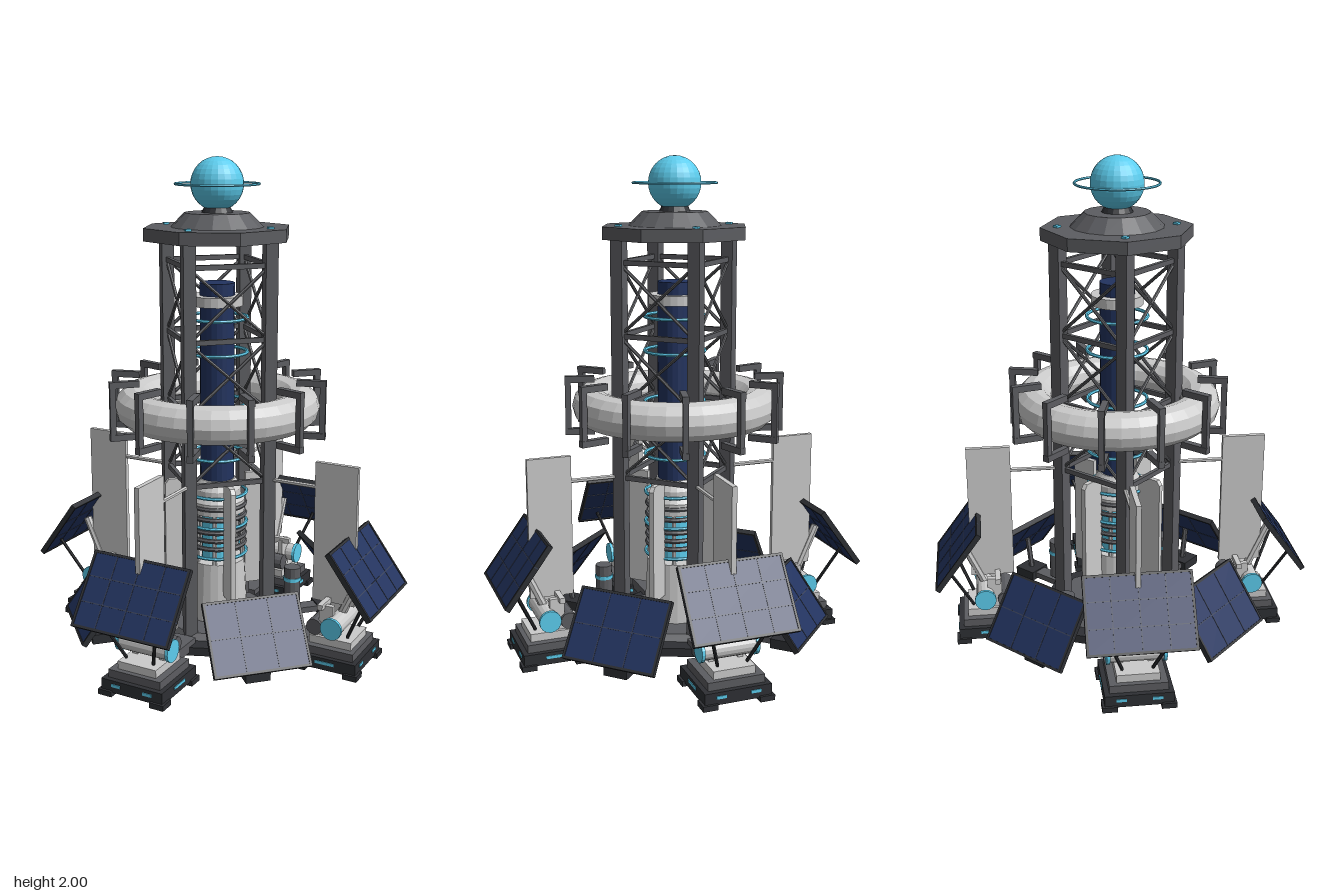
import * as THREE from 'three';

const mat = (color) => new THREE.MeshStandardMaterial({ color, flatShading: true });
const light = mat(0xcccccc), steel = mat(0x5c5d61), dark = mat(0x2e3034);
const navy = mat(0x22335f), cyan = mat(0x5ccdee), line = mat(0x3a4258);

function add(parent, name, geometry, material, x = 0, y = 0, z = 0) {
  const mesh = new THREE.Mesh(geometry, material);
  mesh.name = name;
  mesh.position.set(x, y, z);
  parent.add(mesh);
  return mesh;
}
const box = (p, name, m, w, h, d, x, y, z) => add(p, name, new THREE.BoxGeometry(w, h, d), m, x, y, z);

// Upright cylinder or cone frustum from y0 to y1
const drum = (p, name, m, r0, r1, y0, y1, sides = 24, x = 0, z = 0) =>
  add(p, name, new THREE.CylinderGeometry(r1, r0, y1 - y0, sides), m, x, (y0 + y1) / 2, z);

// Horizontal ring
function ring(p, name, m, R, r, y, radial = 6, around = 36) {
  const mesh = add(p, name, new THREE.TorusGeometry(R, r, radial, around), m, 0, y, 0);
  mesh.rotation.x = Math.PI / 2;
  return mesh;
}

// Round bar between two points
function bar(p, name, m, a, b, r, sides = 6) {
  const A = new THREE.Vector3(...a), B = new THREE.Vector3(...b), dir = B.clone().sub(A);
  const mesh = add(p, name, new THREE.CylinderGeometry(r, r, dir.length(), sides), m);
  mesh.position.copy(A).add(B).multiplyScalar(0.5);
  mesh.quaternion.setFromUnitVectors(new THREE.Vector3(0, 1, 0), dir.normalize());
  return mesh;
}

// Repeats a part around the axis; local +z points outward
function around(root, name, count, start, build) {
  for (let i = 0; i < count; i++) {
    const g = new THREE.Group();
    g.name = name;
    g.rotation.y = start + (i * Math.PI * 2) / count;
    build(g);
    root.add(g);
  }
}

// Framed solar panel, sloping down and outward
function solarPanel(p, w, len, y, z, columns, rows) {
  const g = new THREE.Group();
  g.name = 'solarPanel';
  g.position.set(0, y, z);
  g.rotation.x = 0.94;
  box(g, 'cells', navy, w - 0.012, 0.016, len - 0.012, 0, 0, 0);
  for (const s of [-1, 1]) {
    box(g, 'frameSide', dark, 0.01, 0.022, len, s * (w / 2 - 0.005), 0, 0);
    box(g, 'frameEnd', dark, w, 0.022, 0.01, 0, 0, s * (len / 2 - 0.005));
  }
  for (let i = 1; i < columns; i++) box(g, 'cellLine', line, 0.004, 0.019, len, (i / columns - 0.5) * w, 0, 0);
  for (let i = 1; i < rows; i++) box(g, 'cellLine', line, w, 0.019, 0.004, 0, 0, (i / rows - 0.5) * len);
  p.add(g);
}

// Glowing sphere, its halo and the octagonal roof
function roof(root) {
  add(root, 'beacon', new THREE.SphereGeometry(0.105, 24, 16), cyan, 0, 1.895, 0);
  ring(root, 'beaconHalo', cyan, 0.165, 0.005, 1.895, 6, 48);
  drum(root, 'beaconSocket', dark, 0.07, 0.05, 1.77, 1.81, 16);
  drum(root, 'roofCone', steel, 0.185, 0.13, 1.73, 1.785, 16);
  drum(root, 'roofPlate', steel, 0.3, 0.3, 1.68, 1.73, 8);
  for (const x of [-0.165, 0.165])
    for (const z of [-0.165, 0.165]) box(root, 'roofLamp', cyan, 0.022, 0.01, 0.022, x, 1.733, z);
}

// Square lattice frame: one column and one braced side per quarter
function frame(root) {
  around(root, 'frameSide', 4, 0, (g) => {
    const c = 0.165;
    box(g, 'column', steel, 0.05, 1.63, 0.05, c, 0.875, c);
    const levels = [0.72, 1.01, 1.3, 1.59];
    levels.forEach((y, i) => {
      box(g, 'crossBeam', steel, 0.3, 0.02, 0.016, 0, y, c);
      if (i === 3) return;
      for (const s of [-1, 1]) bar(g, 'brace', steel, [-s * c, y, c], [s * c, levels[i + 1], c], 0.007);
    });
  });
}

// Central energy column and the reactor under it
function core(root) {
  drum(root, 'coreTube', navy, 0.07, 0.07, 0.66, 1.51, 20);
  drum(root, 'coreCollar', light, 0.105, 0.105, 1.42, 1.46);
  const profile = [[0, 0.56], [0.115, 0.56], [0.115, 0.61], [0.1, 0.63], [0.1, 0.66], [0.075, 0.7], [0, 0.7]];
  add(root, 'reactorCap', new THREE.LatheGeometry(profile.map(([x, y]) => new THREE.Vector2(x, y)), 24), light);
  drum(root, 'reactorCore', cyan, 0.065, 0.065, 0.3, 0.57, 16);
  drum(root, 'reactorBase', light, 0.13, 0.115, 0.09, 0.35);
  for (const y of [0.38, 0.51, 0.64, 0.8, 1.02, 1.23, 1.37]) ring(root, 'energyRing', cyan, 0.122, 0.007, y);
  for (const y of [0.42, 0.455, 0.49, 0.545, 0.59]) ring(root, 'coilRing', steel, 0.115, 0.01, y);
  for (let i = 0; i < 8; i++) {
    const a = ((i + 0.5) * Math.PI) / 4;
    drum(root, 'coilRod', light, 0.009, 0.009, 0.34, 0.57, 6, 0.105 * Math.sin(a), 0.105 * Math.cos(a));
  }
}

// Large ring held by twelve clamps
function habitatRing(root) {
  ring(root, 'largeRing', light, 0.34, 0.078, 1.01, 12, 36);
  around(root, 'ringClamp', 12, 0, (g) => {
    for (const s of [-1, 1]) box(g, 'clampArm', steel, 0.026, 0.026, 0.12, 0, 1.01 + s * 0.108, 0.387);
    box(g, 'clampPost', steel, 0.022, 0.22, 0.024, 0, 1.01, 0.434);
  });
  around(root, 'ringSpoke', 4, Math.PI / 4, (g) => bar(g, 'spoke', steel, [0, 1.01, 0.22], [0, 1.01, 0.29], 0.014));
}

// Low panels, canisters, pads and chamfered fins on the four sides
function sideUnits(root) {
  const s = new THREE.Shape();
  [[0.12, 0.22], [0.225, 0.22], [0.225, 0.69], [0.21, 0.71], [0.12, 0.71]].forEach(([x, y], i) =>
    i ? s.lineTo(x, y) : s.moveTo(x, y));
  const fin = new THREE.ExtrudeGeometry(s, { depth: 0.02, bevelEnabled: false });
  fin.translate(0, 0, -0.01).rotateY(-Math.PI / 2);
  around(root, 'sideUnit', 4, 0, (g) => {
    add(g, 'coolingFin', fin, light);
    solarPanel(g, 0.39, 0.29, 0.225, 0.525, 3, 2);
    drum(g, 'canister', steel, 0.036, 0.036, 0.09, 0.26, 12, 0, 0.34);
    drum(g, 'canisterBand', cyan, 0.039, 0.039, 0.2, 0.215, 12, 0, 0.34);
    box(g, 'padArm', steel, 0.06, 0.025, 0.2, 0, 0.062, 0.41);
    box(g, 'pad', dark, 0.1, 0.04, 0.1, 0, 0.06, 0.5);
    bar(g, 'panelPost', steel, [0, 0.07, 0.5], [0, 0.215, 0.52], 0.012);
  });
}

// Landing pods with radiators and raised panels on the four corners
function pods(root) {
  around(root, 'cornerPod', 4, Math.PI / 4, (g) => {
    const z = 0.555;
    box(g, 'podArm', steel, 0.09, 0.045, 0.2, 0, 0.075, 0.37);
    box(g, 'podHull', dark, 0.27, 0.05, 0.26, 0, 0.04, z);
    box(g, 'podDeck', steel, 0.23, 0.035, 0.22, 0, 0.08, z);
    box(g, 'podTop', light, 0.17, 0.035, 0.18, 0, 0.112, z);
    for (const s of [-1, 1]) {
      for (const t of [-1, 1]) {
        box(g, 'foot', dark, 0.06, 0.022, 0.06, s * 0.115, 0.011, z + t * 0.11);
        box(g, 'podLamp', cyan, 0.04, 0.012, 0.006, s * 0.07, 0.045, z + t * 0.13);
      }
      box(g, 'sideLamp', cyan, 0.006, 0.012, 0.08, s * 0.135, 0.045, z);
      // yoke leg, drum end and panel strut
      box(g, 'yokeLeg', light, 0.022, 0.14, 0.06, s * 0.06, 0.19, 0.53);
      bar(g, 'drumCap', cyan, [s * 0.105, 0.185, 0.57], [s * 0.118, 0.185, 0.57], 0.045, 16);
      bar(g, 'panelStrut', dark, [s * 0.06, 0.14, 0.62], [s * 0.13, 0.34, 0.715], 0.007);
    }
    bar(g, 'podDrum', light, [-0.106, 0.185, 0.57], [0.106, 0.185, 0.57], 0.038, 16);
    bar(g, 'rearDrum', steel, [-0.085, 0.165, 0.485], [0.085, 0.165, 0.485], 0.034, 12);
    box(g, 'yokeBar', light, 0.2, 0.022, 0.022, 0, 0.26, 0.515);
    bar(g, 'panelArm', light, [0, 0.2, 0.565], [0, 0.41, 0.66], 0.018, 8);
    solarPanel(g, 0.42, 0.3, 0.415, 0.673, 4, 3);
    // radiator and the rod that braces it
    box(g, 'radiator', light, 0.02, 0.58, 0.18, 0, 0.54, 0.535);
    bar(g, 'radiatorRod', light, [0, 0.725, 0.22], [0, 0.725, 0.46], 0.009);
  });
}

export function createModel() {
  const root = new THREE.Group();
  root.name = 'tower';
  roof(root);
  frame(root);
  core(root);
  habitatRing(root);
  sideUnits(root);
  pods(root);
  // Octagonal base
  drum(root, 'basePlate', dark, 0.34, 0.34, 0.04, 0.075, 8);
  drum(root, 'baseStep', steel, 0.27, 0.25, 0.075, 0.1, 8);
  return root;
}
